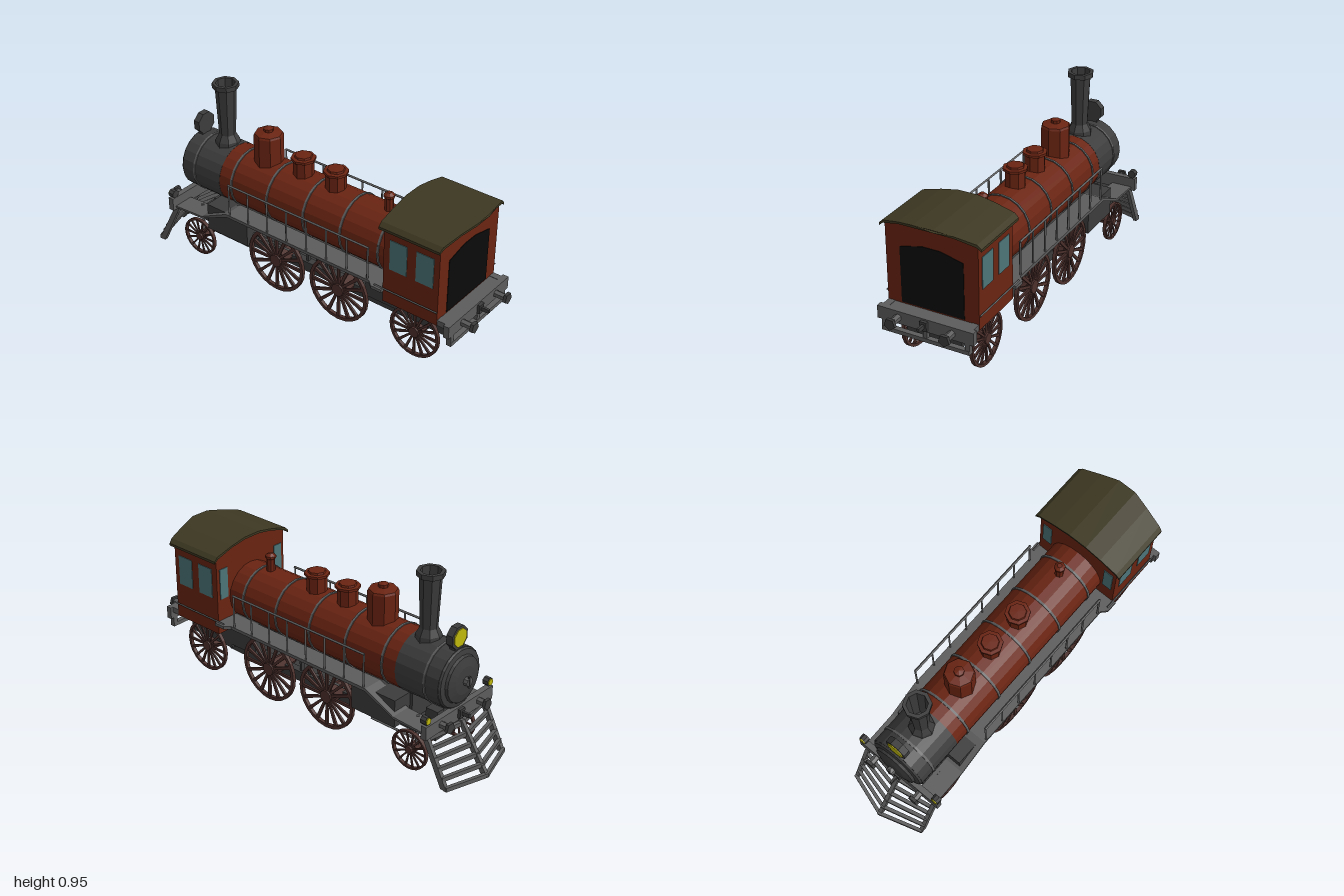
import * as THREE from 'three';
import { mergeGeometries } from 'three/addons/utils/BufferGeometryUtils.js';

const mat = (color) => new THREE.MeshStandardMaterial({ color, flatShading: true, side: THREE.DoubleSide });

export function createModel() {
  const root = new THREE.Group();
  const red = mat(0x6a2412), dark = mat(0x3c3c3c), steel = mat(0x5c5c5c), olive = mat(0x3d3822);
  const iron = mat(0x4c302c), glass = mat(0x4d7478), yellow = mat(0xc0b80c), black = mat(0x0b0b0b);

  const add = (name, geo, material, x = 0, y = 0, z = 0) => {
    const m = new THREE.Mesh(geo, material);
    m.name = name;
    m.position.set(x, y, z);
    root.add(m);
    return m;
  };
  // box given by its extents
  const box = (name, material, x0, x1, y0, y1, z0, z1) =>
    add(name, new THREE.BoxGeometry(Math.abs(x1 - x0), y1 - y0, Math.abs(z1 - z0)), material,
      (x0 + x1) / 2, (y0 + y1) / 2, (z0 + z1) / 2);
  const lathe = (pts, sides) => new THREE.LatheGeometry(pts.map(p => new THREE.Vector2(...p)), sides);
  const shape = (pts) => new THREE.Shape(pts.map(p => new THREE.Vector2(...p)));
  const extrude = (pts, depth) => new THREE.ExtrudeGeometry(shape(pts), { depth, bevelEnabled: false });
  // (z, y) outline extruded across x0..x1
  const sideExtrude = (name, material, pts, x0, x1) =>
    add(name, extrude(pts, x1 - x0).rotateY(-Math.PI / 2), material, x1);
  // rod between two points
  const bar = (name, material, a, b, r, sides = 4) => {
    const A = new THREE.Vector3(...a), B = new THREE.Vector3(...b), d = B.clone().sub(A);
    const m = add(name, new THREE.CylinderGeometry(r, r, d.length(), sides), material);
    m.position.copy(A).add(B).multiplyScalar(0.5);
    m.quaternion.setFromUnitVectors(new THREE.Vector3(0, 1, 0), d.normalize());
    return m;
  };
  const alongZ = (r0, r1, len, sides) => new THREE.CylinderGeometry(r0, r1, len, sides).rotateX(Math.PI / 2);

  // boiler, smokebox and bands
  const by = 0.465;
  add('boiler', alongZ(0.152, 0.152, 1.1, 20), red, 0, by, 0.01);
  add('smokebox', alongZ(0.153, 0.153, 0.25, 20), dark, 0, by, -0.665);
  add('smokeboxDoor', lathe([[0.153, 0], [0.145, 0.015], [0.12, 0.02], [0.115, 0.033], [0.07, 0.045], [0, 0.05]], 20)
    .rotateX(-Math.PI / 2), dark, 0, by, -0.785);
  add('doorBoss', alongZ(0.022, 0.022, 0.03, 8), steel, 0, by, -0.84);
  box('doorHandle', dark, -0.006, 0.006, by - 0.03, by + 0.03, -0.857, -0.848);
  for (const z of [0.45, 0.225, 0, -0.23, -0.46, -0.71])
    add('boilerBand', alongZ(0.157, 0.157, 0.012, 20), steel, 0, by, z);

  // chimney, domes and whistle
  add('chimney', lathe([[0.065, 0.59], [0.062, 0.63], [0.043, 0.665], [0.054, 0.925], [0.068, 0.925],
    [0.068, 0.95], [0.05, 0.95], [0.04, 0.7], [0, 0.7]], 8), dark, 0, 0, -0.61);
  add('sandDome', lathe([[0.075, 0.57], [0.075, 0.755], [0.07, 0.765], [0.025, 0.775], [0.025, 0.79], [0, 0.797]], 8),
    red, 0, 0, -0.335);
  for (const z of [-0.115, 0.085])
    add('steamDome', lathe([[0.052, 0.58], [0.052, 0.693], [0.063, 0.695], [0.063, 0.708], [0.045, 0.71],
      [0.042, 0.72], [0, 0.722]], 8), red, 0, 0, z);
  add('whistle', lathe([[0.022, 0.6], [0.022, 0.68], [0.028, 0.685], [0.028, 0.697], [0.012, 0.71], [0, 0.71]], 8),
    red, 0, 0, 0.4);

  // headlamp
  const lamp = (name, r, x, y, z, depth) => {
    add(name, alongZ(r, r, depth, 8).rotateZ(Math.PI / 8), dark, x, y, z);
    add(name + 'Lens', alongZ(r * 0.78, r * 0.78, 0.006, 8).rotateZ(Math.PI / 8), yellow, x, y, z - depth / 2 - 0.002);
  };
  lamp('headlamp', 0.06, 0, 0.672, -0.77, 0.035);
  box('headlampBracket', dark, -0.03, 0.03, 0.59, 0.63, -0.785, -0.755);

  // cab with arched top, dark doorway and windows
  add('cab', extrude([[-0.237, 0.29], [0.237, 0.29], [0.237, 0.715], [0.14, 0.745], [0.05, 0.76],
    [-0.05, 0.76], [-0.14, 0.745], [-0.237, 0.715]], 0.305), red, 0, 0, 0.545);
  add('doorway', extrude([[-0.163, 0.325], [0.163, 0.325], [0.163, 0.61], [0.045, 0.638], [-0.045, 0.638],
    [-0.163, 0.61]], 0.004), black, 0, 0, 0.849);
  const roof = extrude([[-0.26, 0.695], [-0.237, 0.715], [-0.14, 0.745], [-0.05, 0.76], [0.05, 0.76], [0.14, 0.745],
    [0.237, 0.715], [0.26, 0.695], [0.26, 0.708], [0.24, 0.728], [0.14, 0.755], [0.05, 0.772], [-0.05, 0.772],
    [-0.14, 0.755], [-0.24, 0.728], [-0.26, 0.708]], 0.33);
  const rp = roof.attributes.position; // visor reaches furthest at the middle
  for (let i = 0; i < rp.count; i++)
    if (rp.getZ(i) > 0.1) rp.setZ(i, 0.33 + 0.065 * (1 - Math.abs(rp.getX(i)) / 0.26));
  add('roof', roof, olive, 0, 0, 0.53);

  for (const s of [-1, 1]) {
    for (const [z0, z1] of [[0.58, 0.675], [0.725, 0.82]])
      box('sideWindow', glass, s * 0.235, s * 0.24, 0.485, 0.645, z0, z1);
    box('frontWindow', glass, s * 0.165, s * 0.218, 0.48, 0.645, 0.541, 0.546);
    bar('cabRail', steel, [s * 0.243, 0.365, 0.85], [s * 0.243, 0.365, 0.5], 0.005);

    // running board, sloping down to the pilot beam
    const [a, b] = s < 0 ? [-0.23, -0.12] : [0.12, 0.23];
    sideExtrude('runningBoard', steel, [[0.55, 0.345], [0.55, 0.362], [-0.43, 0.362], [-0.6, 0.28], [-0.78, 0.27],
      [-0.78, 0.26], [-0.6, 0.268], [-0.43, 0.345]], a, b);
    add('boardFlare', extrude([[s * 0.22, -0.45], [s * 0.257, -0.49], [s * 0.257, -0.55], [s * 0.22, -0.55]], 0.016)
      .rotateX(-Math.PI / 2), steel, 0, 0.346, 0);

    // handrail
    const x = s * 0.222;
    bar('handrail', steel, [x, 0.535, 0.45], [x, 0.535, -0.415], 0.007);
    for (let i = 0; i < 8; i++) {
      const z = 0.445 - i * 0.1225;
      bar('railPost', steel, [x, 0.35, z], [x, 0.535, z], 0.006);
    }

    // cylinder block, guide bars and frame rails
    box('cylinderBlock', dark, s * 0.08, s * 0.2, 0.2, 0.345, -0.585, -0.32);
    bar('guideBar', steel, [s * 0.15, 0.25, -0.32], [s * 0.15, 0.25, -0.02], 0.007);
    box('frameRail', dark, s * 0.07, s * 0.11, 0.135, 0.19, -0.4, 0.6);
    box('upperRail', dark, s * 0.07, s * 0.11, 0.3, 0.325, -0.4, 0.56);
    for (const z of [-0.02, 0.04, 0.1]) box('frameStrut', dark, s * 0.08, s * 0.1, 0.18, 0.31, z, z + 0.012);
    bar('truckBar', steel, [s * 0.12, 0.13, -0.38], [s * 0.12, 0.13, -0.7], 0.008);
    bar('truckBrace', steel, [s * 0.14, 0.225, -0.58], [s * 0.14, 0.25, -0.79], 0.007);
    bar('truckPost', steel, [s * 0.14, 0.11, -0.675], [s * 0.14, 0.28, -0.675], 0.01);

    // buffers and marker lamps
    for (const [z, d] of [[0.925, 1], [-0.805, -1]]) {
      const len = d > 0 ? 0.055 : 0.045;
      add('bufferStem', alongZ(0.018, 0.018, len, 6), steel, s * 0.14, 0.288, z + d * len / 2);
      add('bufferHead', alongZ(0.03, 0.03, 0.016, 5), dark, s * 0.14, 0.288, z + d * (len + 0.008));
    }
    lamp('markerLamp', 0.022, s * 0.232, 0.345, -0.79, 0.03);

    // rear step hangers
    box('stepHanger', steel, s * 0.205, s * 0.228, 0.2, 0.26, 0.9, 0.925);
    box('rearSill', steel, s * 0.2, s * 0.235, 0.29, 0.32, 0.84, 0.92);
  }

  // underframe
  box('firebox', dark, -0.145, 0.145, 0.19, 0.36, 0.38, 0.56);
  box('rearFrame', dark, -0.145, 0.145, 0.17, 0.3, 0.55, 0.85);
  box('centreFrame', dark, -0.07, 0.07, 0.14, 0.17, -0.4, 0.6);
  box('saddle', dark, -0.09, 0.09, 0.2, 0.36, -0.6, -0.36);
  box('truckPlate', dark, -0.1, 0.1, 0.15, 0.2, -0.75, -0.4);
  box('truckPivot', dark, -0.025, 0.025, 0.1, 0.25, -0.7, -0.63);

  // beams and couplers
  box('rearBeam', steel, -0.25, 0.25, 0.255, 0.32, 0.895, 0.925);
  box('rearDeck', steel, -0.2, 0.2, 0.3, 0.318, 0.84, 0.9);
  box('rearStep', steel, -0.228, 0.228, 0.2, 0.22, 0.9, 0.927);
  box('rearCentrePost', steel, -0.01, 0.01, 0.21, 0.26, 0.905, 0.925);
  box('pilotBeam', steel, -0.25, 0.25, 0.25, 0.32, -0.81, -0.78);
  for (const [z, d] of [[0.925, 1], [-0.81, -1]]) {
    box('couplerPlate', dark, -0.018, 0.018, 0.265, 0.312, z, z + d * 0.015);
    box('couplerHook', dark, -0.006, 0.006, 0.28, 0.3, z, z + d * 0.055);
  }

  // pilot: V-shaped slats held by side and centre ribs
  const pilot = (t) => ({ y: 0.235 - 0.215 * t, zc: -0.83 - 0.16 * t, zs: -0.795 - 0.125 * t });
  for (let i = 0; i < 6; i++) {
    const { y, zc, zs } = pilot(i / 5);
    const v = [[-0.225, zs], [0, zc], [0.225, zs], [0.225, zs + 0.018], [0, zc + 0.018], [-0.225, zs + 0.018]];
    add('pilotSlat', extrude(v.map(([px, pz]) => [px, -pz]), 0.022).rotateX(-Math.PI / 2), steel, 0, y - 0.011, 0);
  }
  const top = pilot(0), low = pilot(1);
  for (const s of [-1, 0, 1]) {
    const zt = s ? top.zs : top.zc, zl = s ? low.zs : low.zc;
    sideExtrude('pilotRib', steel, [[zt, top.y + 0.02], [zl, low.y - 0.008], [zl + 0.035, low.y - 0.008],
      [zt + 0.03, top.y + 0.02]], s * 0.216 - 0.01, s * 0.216 + 0.01);
  }

  // spoked wheels and axles
  const wheelGeometry = (r, spokes) => {
    const w = 0.009, ri = r * 0.9;
    const parts = [
      lathe([[ri, -w], [r, -w], [r, w], [ri, w], [ri, -w]], 24),
      new THREE.CylinderGeometry(r * 0.2, r * 0.2, 0.026, 10),
    ];
    for (let i = 0; i < spokes; i++) {
      const len = r * 0.78;
      parts.push(new THREE.CylinderGeometry(r * 0.07, r * 0.05, len, 4).rotateY(Math.PI / 4).scale(1, 1, 0.7)
        .translate(0, r * 0.15 + len / 2, 0).rotateX(Math.PI / 2).rotateY(i / spokes * Math.PI * 2));
    }
    return mergeGeometries(parts).rotateZ(Math.PI / 2);
  };
  for (const [name, z, y, r, n] of [['drivingWheel', 0.245, 0.182, 0.174, 16], ['drivingWheel', -0.145, 0.182, 0.174, 16],
    ['trailingWheel', 0.695, 0.146, 0.138, 16], ['leadingWheel', -0.665, 0.107, 0.103, 14]]) {
    const geo = wheelGeometry(r, n);
    for (const s of [-1, 1]) add(name, geo, iron, s * 0.18, y, z);
    const ar = r * 0.19;
    bar('axle', iron, [-0.18, y, z], [0.18, y, z], ar, 8);
    for (const s of [-1, 1]) bar('axleCollar', iron, [s * 0.03, y, z], [s * 0.165, y, z], ar * 1.25, 8);
  }
  return root;
}
